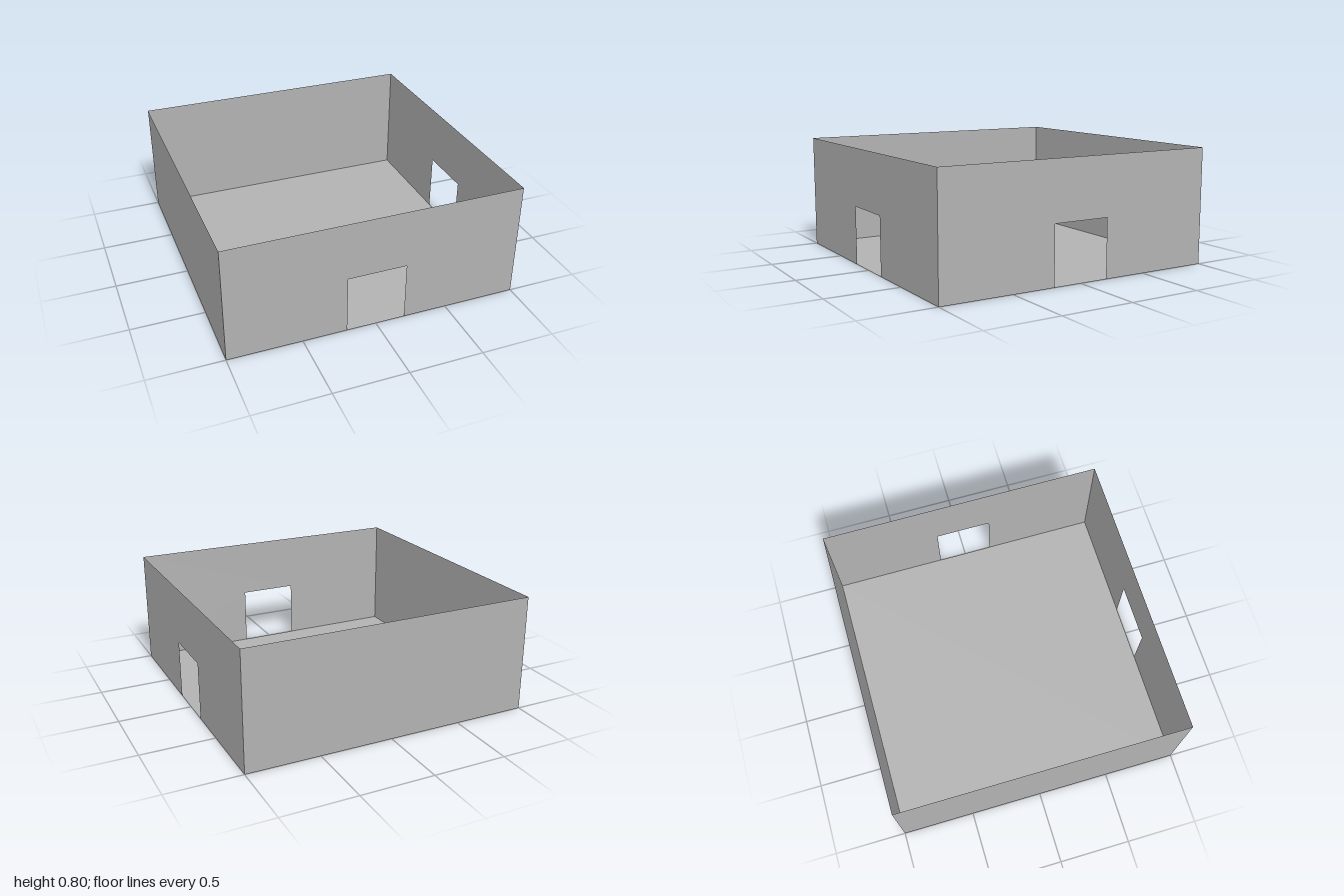
import * as THREE from 'three';

const SIZE = 2, HEIGHT = 0.8, DOOR_WIDTH = 0.4, DOOR_HEIGHT = 0.4;

// Wall outline, standing on y = 0, with an optional doorway notch at the bottom centre
function wallGeometry(hasDoor) {
  const h = SIZE / 2, d = DOOR_WIDTH / 2;
  const points = [[h, 0], [h, HEIGHT], [-h, HEIGHT], [-h, 0]];
  if (hasDoor) points.push([-d, 0], [-d, DOOR_HEIGHT], [d, DOOR_HEIGHT], [d, 0]);
  return new THREE.ShapeGeometry(new THREE.Shape(points.map(([x, y]) => new THREE.Vector2(x, y))));
}

export function createModel() {
  const model = new THREE.Group();
  model.name = 'openRoom';

  const grey = new THREE.MeshStandardMaterial({ color: 0xb2b2b2, side: THREE.DoubleSide });
  grey.name = 'plain grey';

  // Floor
  const floor = new THREE.Mesh(new THREE.PlaneGeometry(SIZE, SIZE).rotateX(-Math.PI / 2), grey);
  floor.name = 'floor';
  model.add(floor);

  // Four thin walls facing outward; doorways in the front and left (+x) walls
  const walls = [['frontWall', true], ['leftWall', true], ['backWall', false], ['rightWall', false]];
  walls.forEach(([name, hasDoor], i) => {
    const geometry = wallGeometry(hasDoor).translate(0, 0, SIZE / 2).rotateY(i * Math.PI / 2);
    const wall = new THREE.Mesh(geometry, grey);
    wall.name = name;
    model.add(wall);
  });

  return model;
}
